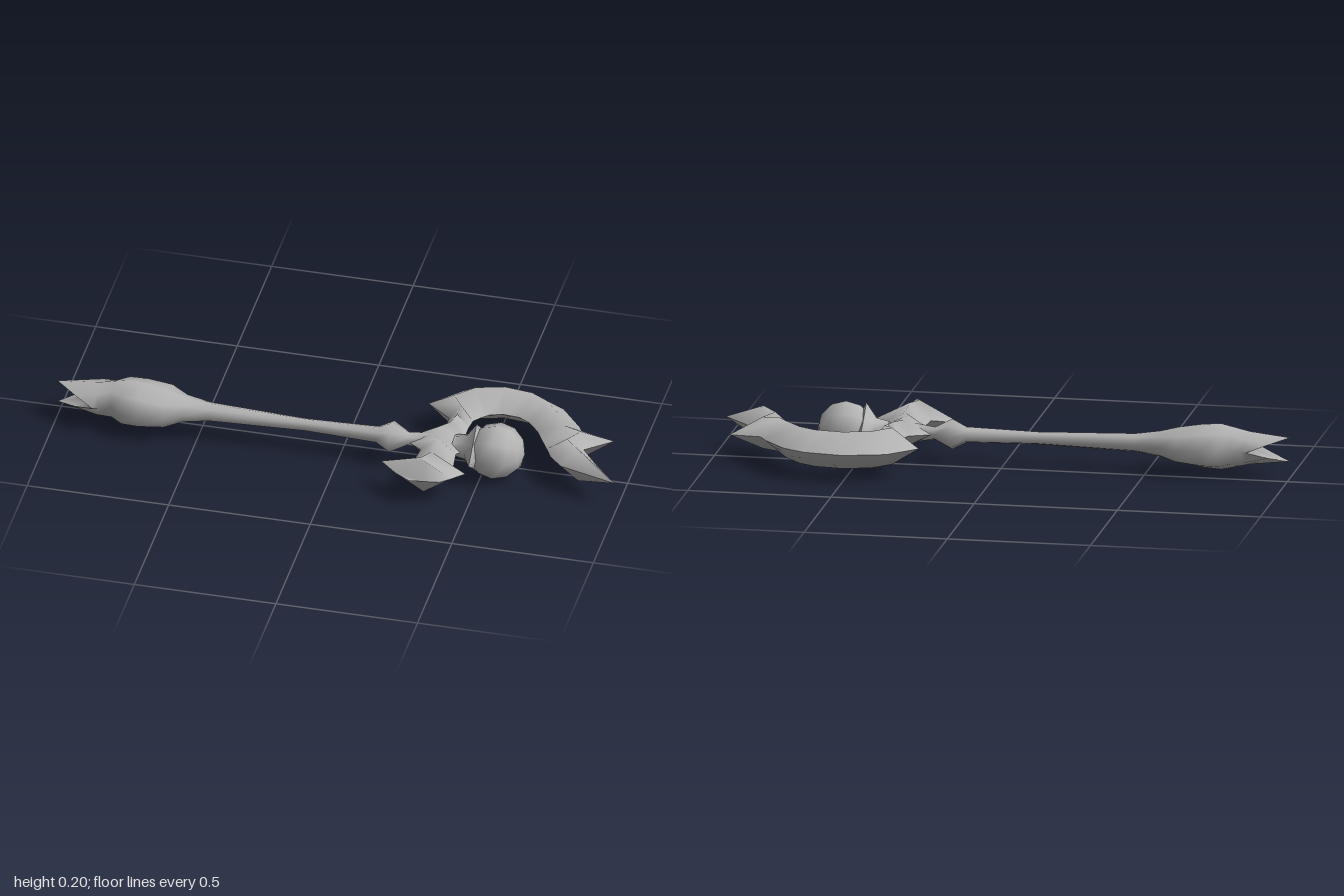
import * as THREE from 'three';

const AXIS_Y = 0.1, AXIS_Z = 0.055;
const steel = new THREE.MeshStandardMaterial({ color: 0xb4b4b4 });
steel.name = 'grey steel';

function build(points, faces, name) {
  const g = new THREE.BufferGeometry();
  g.setAttribute('position', new THREE.Float32BufferAttribute(points.flat(), 3));
  g.setIndex(faces.flat());
  g.computeVertexNormals();
  const mesh = new THREE.Mesh(g, steel);
  mesh.name = name;
  return mesh;
}

// Eight-sided loft along x. Ring: [x, radiusY, radiusZ, diagonal scale, x shift at top/bottom]
function loft(rings, name, startX, endX) {
  const n = 8, points = [], faces = [];
  const addRing = ([x, ry, rz, diag = 1, shift = 0]) => {
    for (let i = 0; i < n; i++) {
      const a = (i / n) * Math.PI * 2, k = i % 2 ? diag : 1;
      points.push([
        x + shift * Math.cos(a) ** 2,
        AXIS_Y + ry * k * Math.cos(a),
        AXIS_Z + rz * k * Math.sin(a),
      ]);
    }
  };
  rings.forEach(addRing);
  for (let r = 0; r < rings.length - 1; r++) {
    for (let i = 0; i < n; i++) {
      const a = r * n + i, b = r * n + ((i + 1) % n);
      faces.push([a, b, a + n], [b, b + n, a + n]);
    }
  }
  // Caps use their own vertices so the rims stay sharp
  const cap = (ring, x, flip) => {
    const base = points.length;
    addRing(ring);
    points.push([x, AXIS_Y, AXIS_Z]);
    for (let i = 0; i < n; i++) {
      const a = base + i, b = base + ((i + 1) % n);
      faces.push(flip ? [base + n, b, a] : [base + n, a, b]);
    }
  };
  cap(rings[0], startX, true);
  cap(rings[rings.length - 1], endX, false);
  return build(points, faces, name);
}

// Diamond-section blade lying flat, ridge midway between its edges.
// Station: [leftX, leftZ, rightX, rightZ, ridge height, ridge z shift]
function blade(stations, name) {
  const points = [], faces = [];
  for (const side of [1, -1]) {
    const base = points.length;
    for (const [lx, lz, rx, rz, h = 0.065, shift = 0] of stations) {
      const ridge = [(lx + rx) / 2, AXIS_Y + side * h, (lz + rz) / 2 + shift];
      points.push([lx, AXIS_Y, lz], ridge, [rx, AXIS_Y, rz]);
    }
    for (let s = 0; s < stations.length - 1; s++) {
      for (let c = 0; c < 2; c++) {
        const a = base + s * 3 + c, b = a + 1, d = a + 3, e = a + 4;
        if (side > 0) faces.push([a, b, d], [b, e, d]);
        else faces.push([a, d, b], [b, d, e]);
      }
    }
  }
  return build(points, faces, name);
}

export function createModel() {
  const model = new THREE.Group();
  model.name = 'staff';

  // Shaft with forked pommel, swollen grip and small knob below the head
  model.add(loft([
    [-0.86, 0.042, 0.078, 0.8, -0.14],
    [-0.84, 0.058, 0.072, 1, -0.02],
    [-0.80, 0.072, 0.055],
    [-0.76, 0.081, 0.088],
    [-0.70, 0.077, 0.098],
    [-0.61, 0.062, 0.097],
    [-0.55, 0.046, 0.052],
    [-0.46, 0.032, 0.034],
    [-0.12, 0.022, 0.021],
    [0.13, 0.028, 0.03],
    [0.18, 0.054, 0.058],
    [0.24, 0.022, 0.024],
    [0.32, 0.035, 0.03],
  ], 'shaft', -0.86, 0.32));

  // Two-pointed axe beak and the stem that crosses the shaft
  model.add(blade([
    [0.30, 0.305, 0.405, 0.29, 0],
    [0.245, 0.27, 0.44, 0.26],
    [0.18, 0.21, 0.48, 0.22, 0.065, 0.035],
    [0.285, 0.225, 0.43, 0.19],
    [0.295, 0.11, 0.42, 0.11, 0.055],
    [0.25, 0.08, 0.44, 0.09, 0.05],
    [0.25, 0.03, 0.44, 0.02, 0.05],
    [0.32, 0, 0.425, -0.01, 0.05],
    [0.345, -0.05, 0.425, -0.06, 0.052],
  ], 'axeBeakAndStem'));

  // Crescent curling over the orb, ending in a barb and a long point
  model.add(blade([
    [0.345, -0.05, 0.425, -0.06, 0.052],
    [0.345, -0.10, 0.43, -0.10, 0.06],
    [0.255, -0.17, 0.45, -0.125],
    [0.35, -0.27, 0.475, -0.15],
    [0.495, -0.31, 0.52, -0.165],
    [0.635, -0.29, 0.58, -0.16],
    [0.715, -0.245, 0.62, -0.135],
    [0.795, -0.15, 0.66, -0.09],
    [0.82, -0.105, 0.70, -0.02, 0.06],
    [0.93, -0.095, 0.715, 0.005, 0.056],
    [0.84, -0.02, 0.74, 0.05, 0.06],
    [0.90, 0.055, 0.785, 0.095],
    [0.99, 0.155, 0.99, 0.155, 0],
  ], 'crescentBlade'));

  // Four-pointed collar gripping the orb
  model.add(loft([
    [0.40, 0.035, 0.04],
    [0.445, 0.045, 0.045],
    [0.48, 0.098, 0.12, 0.68],
  ], 'orbCollar', 0.40, 0.53));

  // Faceted orb, poles along the shaft
  const orb = new THREE.Mesh(new THREE.SphereGeometry(0.1, 8, 6), steel);
  orb.name = 'orb';
  orb.rotation.z = Math.PI / 2;
  orb.position.set(0.55, AXIS_Y, AXIS_Z);
  model.add(orb);

  return model;
}
